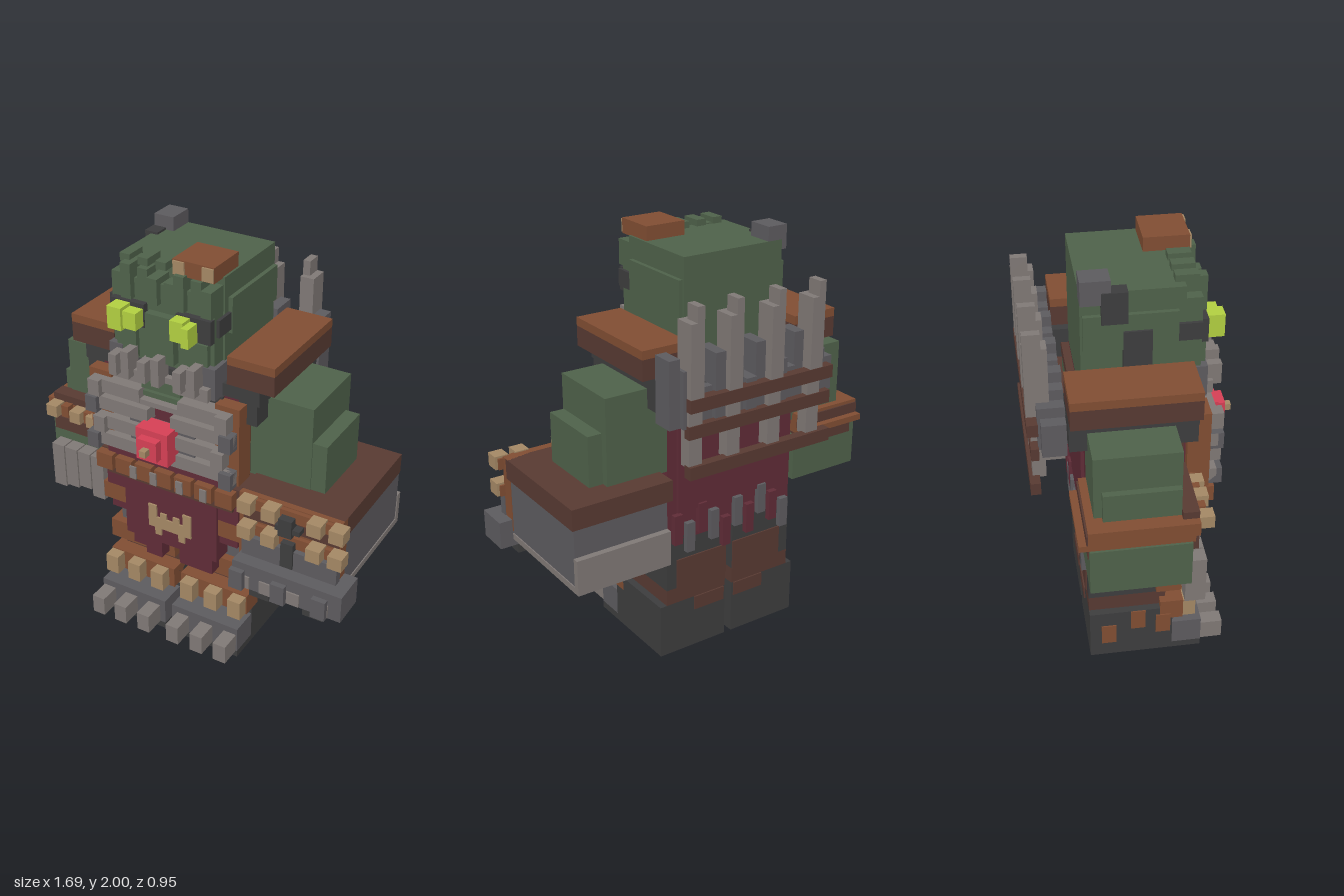
import * as THREE from 'three';

const mat = (name, color) => {
  const m = new THREE.MeshStandardMaterial({ color });
  m.name = name;
  return m;
};

export function createModel() {
  const root = new THREE.Group();
  const green = mat('skin green', 0x4f624a), iron = mat('iron', 0x5d5b5f), bone = mat('pale iron', 0x807976);
  const brown = mat('dark leather', 0x583a32), rust = mat('leather', 0x814e33), tan = mat('brass', 0xa48865);
  const wine = mat('wine cloth', 0x602c37), red = mat('gem red', 0xd64055), lime = mat('eye lime', 0xb2d041);
  const black = mat('charcoal', 0x3d3d3e);
  const MID = -0.12; // the body's own centre line

  // box given by its limits on each axis
  const box = (name, m, x0, x1, y0, y1, z0, z1) => {
    const mesh = new THREE.Mesh(new THREE.BoxGeometry(x1 - x0, y1 - y0, z1 - z0), m);
    mesh.position.set((x0 + x1) / 2, (y0 + y1) / 2, (z0 + z1) / 2);
    mesh.name = name;
    root.add(mesh);
  };
  // same box on both sides; x is measured from the body's centre line
  const pair = (name, m, a, b, ...r) => {
    box(name + 'Left', m, MID + a, MID + b, ...r);
    box(name + 'Right', m, MID - b, MID - a, ...r);
  };
  // row of equal boxes from a list of left edges
  const row = (name, m, xs, w, ...r) => xs.forEach((x) => box(name, m, x, x + w, ...r));

  // boots and legs
  pair('boot', black, 0.02, 0.39, 0, 0.27, -0.235, 0.16);
  pair('toeSole', black, 0.02, 0.39, 0, 0.035, 0.16, 0.3);
  pair('toeCap', iron, 0.02, 0.39, 0.035, 0.17, 0.16, 0.3);
  pair('shin', brown, 0.02, 0.355, 0.27, 0.35, -0.235, 0.1);
  pair('thigh', black, 0.02, 0.355, 0.35, 0.62, -0.235, 0.1);
  pair('shinFront', brown, 0.02, 0.35, 0.3, 0.4, 0.1, 0.13);
  pair('shinBack', brown, 0.02, 0.3, 0.35, 0.5, -0.242, -0.235);
  pair('bootBackPatch', brown, 0.03, 0.2, 0.2, 0.27, -0.242, -0.235);
  pair('thighPlate', iron, 0.2, 0.35, 0.48, 0.66, 0.1, 0.16);
  pair('kneeBand', rust, 0.02, 0.39, 0.38, 0.48, 0.08, 0.2);
  pair('ankleBand', rust, 0.02, 0.39, 0.2, 0.31, 0.1, 0.21);
  for (const x of [0.05, 0.185, 0.315]) {
    pair('toeSpike', bone, x, x + 0.068, 0.035, 0.135, 0.3, 0.405);
    pair('ankleStud', tan, x, x + 0.07, 0.205, 0.305, 0.21, 0.27);
  }
  for (const [y, z] of [[0.08, -0.18], [0.16, -0.04], [0.12, 0.08]])
    box('bootStrap', rust, -0.516, -0.51, y, y + 0.11, z, z + 0.07);

  // tunic and loincloth
  box('torso', wine, -0.47, 0.23, 0.6, 1.4, -0.235, 0.235);
  box('backCloth', wine, -0.42, 0.18, 0.75, 1.33, -0.25, -0.235);
  box('backStrap', brown, -0.41, 0.17, 1.33, 1.39, -0.27, -0.235);
  box('loincloth', wine, -0.37, 0.135, 0.5, 0.85, 0.1, 0.265);
  box('loinTail', wine, -0.33, -0.17, 0.45, 0.5, 0.2, 0.265);
  box('loinTail', wine, -0.26, -0.17, 0.41, 0.45, 0.2, 0.265);
  box('loinTail', wine, -0.07, 0.11, 0.42, 0.5, 0.2, 0.265);
  pair('hipPad', rust, 0.25, 0.385, 0.65, 0.74, -0.05, 0.25);
  pair('hipSkirt', wine, 0.25, 0.36, 0.74, 0.83, 0.1, 0.25);
  for (let i = 0; i < 10; i++) {
    const x = -0.45 + i * 0.068, y = 0.51 + ((i * 7) % 5) * 0.028;
    box('backHem', i % 2 ? wine : iron, x, x + 0.045, y, y + 0.15, -0.262, -0.235);
  }
  box('emblemBar', tan, -0.235, 0, 0.59, 0.65, 0.265, 0.274);
  row('emblemProng', tan, [-0.235, -0.045], 0.045, 0.65, 0.715, 0.265, 0.274);
  row('emblemTooth', tan, [-0.17, -0.1], 0.035, 0.65, 0.68, 0.265, 0.274);
  row('emblemFoot', tan, [-0.2, -0.07], 0.035, 0.55, 0.59, 0.265, 0.274);

  // belt
  box('beltLower', brown, -0.46, 0.22, 0.82, 0.88, 0.1, 0.27);
  box('belt', brown, -0.475, 0.27, 0.88, 0.97, -0.1, 0.29);
  box('beltCloth', wine, -0.43, 0.19, 0.96, 1.02, 0.2, 0.3);
  for (let i = 0; i < 7; i++) {
    const x = -0.475 + i * 0.107;
    box('beltBlock', rust, x, x + 0.088, 0.885, 0.965, 0.29, 0.335);
  }
  row('beltStud', bone, [-0.285, -0.175, -0.035, 0.09], 0.035, 0.885, 0.95, 0.335, 0.343);

  // chest harness, ribs and gem
  pair('harness', rust, 0.27, 0.39, 1.0, 1.39, 0.2, 0.3);
  pair('harnessSide', brown, 0.345, 0.365, 0.97, 1.4, 0.15, 0.19);
  box('chestPanel', black, -0.4, 0.16, 1.02, 1.4, 0.235, 0.255);
  box('chestCloth', wine, -0.38, 0.14, 1.18, 1.3, 0.255, 0.27);
  [1.02, 1.115, 1.21, 1.3].forEach((y, i) => {
    const out = [0.38, 0.34, 0.38, 0.36][i];
    pair('rib', bone, i === 3 ? 0.1 : 0.06, out, y, y + 0.065, 0.26, 0.335);
    pair('ribEnd', i % 2 ? bone : iron, out - 0.06, out, y - 0.015, y + 0.065, 0.25, 0.36);
  });
  box('sternumPlate', iron, -0.29, 0.05, 1.02, 1.2, 0.25, 0.31);
  box('chestBar', bone, -0.24, 0, 1.295, 1.32, 0.235, 0.33);
  box('throat', green, -0.25, 0.01, 1.325, 1.35, 0.235, 0.3);
  box('gemBase', red, -0.2, -0.035, 1.055, 1.22, 0.3, 0.4);
  box('gemStep', red, -0.168, -0.068, 1.09, 1.19, 0.4, 0.44);
  box('gemTip', tan, -0.135, -0.103, 1.123, 1.155, 0.44, 0.475);

  // head
  box('head', green, -0.38, 0.14, 1.39, 1.935, -0.235, 0.2);
  pair('headSide', green, 0.26, 0.28, 1.67, 1.835, -0.225, 0.17);
  box('face', green, -0.38, 0.13, 1.42, 1.87, 0.2, 0.27);
  box('nose', green, -0.19, -0.05, 1.52, 1.74, 0.27, 0.31);
  pair('cheek', green, 0.13, 0.23, 1.5, 1.65, 0.27, 0.295);
  pair('eyeSocket', black, 0.08, 0.25, 1.66, 1.77, 0.27, 0.3);
  box('eyeRight', lime, -0.34, -0.27, 1.66, 1.765, 0.28, 0.375);
  box('eyeRightCorner', lime, -0.27, -0.205, 1.67, 1.75, 0.28, 0.36);
  box('eyeLeft', lime, -0.035, 0.03, 1.67, 1.765, 0.28, 0.36);
  box('eyeLeftCorner', lime, 0.03, 0.065, 1.66, 1.75, 0.28, 0.375);
  pair('temple', black, 0.26, 0.275, 1.69, 1.77, 0.17, 0.27);
  for (let i = 0; i < 8; i++) {
    const x = -0.38 + i * 0.066, lift = i % 2 ? 0.03 : 0;
    box('browLock', green, x, x + 0.05, 1.75 + lift, 1.88 + ((i * 3) % 4) * 0.02, 0.17, 0.27 + lift);
  }
  row('scalpRidge', green, [-0.34, -0.25, -0.16], 0.05, 1.93, 1.965, 0.16, 0.26);
  box('topKnot', rust, -0.07, 0.13, 1.93, 2.0, 0.07, 0.27);
  row('topKnotStud', tan, [-0.065, 0.075], 0.055, 1.935, 1.995, 0.27, 0.278);
  box('hornStub', iron, -0.405, -0.305, 1.89, 2.0, -0.235, -0.11);
  box('hornRoot', black, -0.41, -0.345, 1.8, 1.945, -0.15, -0.04);
  box('earRight', black, -0.41, -0.37, 1.5, 1.76, -0.06, 0.06);

  // jaw and tusks
  pair('jaw', bone, 0.09, 0.25, 1.4, 1.46, 0.25, 0.33);
  box('chin', green, -0.22, -0.02, 1.37, 1.43, 0.235, 0.31);
  box('lowerLip', bone, -0.22, -0.02, 1.43, 1.46, 0.25, 0.32);
  box('mouth', black, -0.32, 0.08, 1.46, 1.49, 0.26, 0.29);
  [-0.35, -0.285, -0.2, -0.13, -0.02, 0.05].forEach((x, i) =>
    box('tusk', bone, x, x + 0.04, 1.43, i % 2 ? 1.56 : 1.53, 0.29, 0.37));
  pair('jawHinge', iron, 0.2, 0.27, 1.4, 1.55, 0.18, 0.3);

  // shoulders
  pair('shoulderTop', rust, 0.29, 0.52, 1.555, 1.595, -0.31, 0.235);
  pair('shoulderPlate', brown, 0.29, 0.52, 1.46, 1.555, -0.31, 0.235);
  pair('shoulderPad', black, 0.25, 0.45, 1.39, 1.46, -0.31, 0.235);
  pair('shoulderStrap', black, 0.27, 0.45, 1.3, 1.39, -0.31, -0.235);
  pair('shoulderFront', black, 0.36, 0.44, 1.29, 1.39, 0.13, 0.235);

  // left arm with heavy gauntlet
  box('leftUpperArm', green, 0.23, 0.54, 0.97, 1.39, -0.235, 0.135);
  box('leftElbow', green, 0.54, 0.61, 0.97, 1.22, -0.2, 0.13);
  box('gauntletTop', brown, 0.27, 0.775, 0.88, 0.98, -0.34, 0.27);
  box('gauntletBody', iron, 0.3, 0.77, 0.61, 0.88, -0.34, 0.27);
  box('gauntletBase', bone, 0.3, 0.775, 0.58, 0.61, -0.37, 0.27);
  box('gauntletBack', bone, 0.3, 0.775, 0.61, 0.75, -0.37, -0.34);
  box('gauntletFace', rust, 0.275, 0.775, 0.62, 0.98, 0.24, 0.3);
  box('gauntletBand', iron, 0.31, 0.78, 0.68, 0.78, 0.3, 0.34);
  for (const y of [0.92, 0.785]) {
    box('gauntletStrap', rust, 0.3, 0.8, y, y + 0.055, 0.29, 0.32);
    row('gauntletStud', tan, [0.3, 0.42, 0.64, 0.745], 0.068, y, y + 0.065, 0.3, 0.37);
  }
  box('gauntletStrip', brown, 0.3, 0.77, 0.855, 0.91, 0.3, 0.307);
  row('claspLink', black, [0.51, 0.53], 0.04, 0.69, 0.82, 0.3, 0.35);
  box('claspLink', black, 0.5, 0.565, 0.86, 0.95, 0.3, 0.36);
  box('claspRivet', black, 0.48, 0.6, 0.88, 0.905, 0.3, 0.35);
  box('fist', iron, 0.3, 0.84, 0.545, 0.68, 0.24, 0.405);
  row('knuckle', bone, [0.32, 0.44, 0.57, 0.71], 0.07, 0.55, 0.615, 0.405, 0.413);
  row('fistSpike', iron, [0.3, 0.51, 0.71], 0.068, 0.55, 0.65, 0.413, 0.44);
  row('fistClaw', black, [0.37, 0.64], 0.1, 0.48, 0.545, 0.27, 0.37);

  // right arm with open hand
  box('rightUpperArm', green, -0.75, -0.47, 1.05, 1.39, -0.235, 0.135);
  box('rightElbow', green, -0.78, -0.75, 1.05, 1.22, -0.2, 0.13);
  box('cuffTop', brown, -0.81, -0.48, 1.08, 1.12, 0.13, 0.2);
  box('cuffBand', rust, -0.845, -0.48, 1.02, 1.085, -0.27, 0.2);
  box('cuffBackLedge', rust, -0.845, -0.48, 0.99, 1.02, -0.31, 0.18);
  box('cuffBackPlate', brown, -0.845, -0.48, 1.02, 1.07, -0.277, -0.27);
  box('cuffLower', brown, -0.815, -0.48, 0.92, 0.99, -0.27, 0.2);
  row('cuffStud', tan, [-0.81, -0.675, -0.58], 0.06, 1.025, 1.085, 0.2, 0.265);
  row('cuffBlock', rust, [-0.74, -0.61, -0.515], 0.04, 1.025, 1.085, 0.2, 0.24);
  box('rightForearm', green, -0.845, -0.47, 0.75, 0.98, -0.265, 0.17);
  box('handBack', bone, -0.81, -0.515, 0.7, 0.84, 0.15, 0.21);
  for (let i = 0; i < 4; i++) {
    const x = -0.815 + i * 0.077;
    box('finger', bone, x, x + 0.07, 0.615 + (i % 3) * 0.017, 0.85, 0.15, 0.24);
  }

  // back rack with slats, rails and spikes
  box('rackBase', black, -0.47, 0.25, 1.24, 1.42, -0.38, -0.31);
  for (let i = 0; i < 16; i++) {
    const x = -0.54 + i * 0.055;
    box('rackSlat', iron, x, x + 0.055, 1.26, 1.42 + ((i * 5) % 4) * 0.05, -0.42 - (i % 3) * 0.012, -0.315);
  }
  for (const [y, z] of [[1.34, -0.478], [1.215, -0.465], [1.03, -0.475]])
    box('rackRail', brown, -0.5, 0.27, y, y + 0.06, z, -0.43);
  const spikes = [-0.44, -0.22, 0, 0.2];
  row('rackSpikeFoot', bone, spikes, 0.068, 1.08, 1.34, -0.46, -0.4);
  row('rackSpike', bone, spikes, 0.068, 1.34, 1.73, -0.475, -0.375);
  row('rackSpikeTip', bone, spikes, 0.035, 1.73, 1.8, -0.475, -0.4);
  return root;
}
